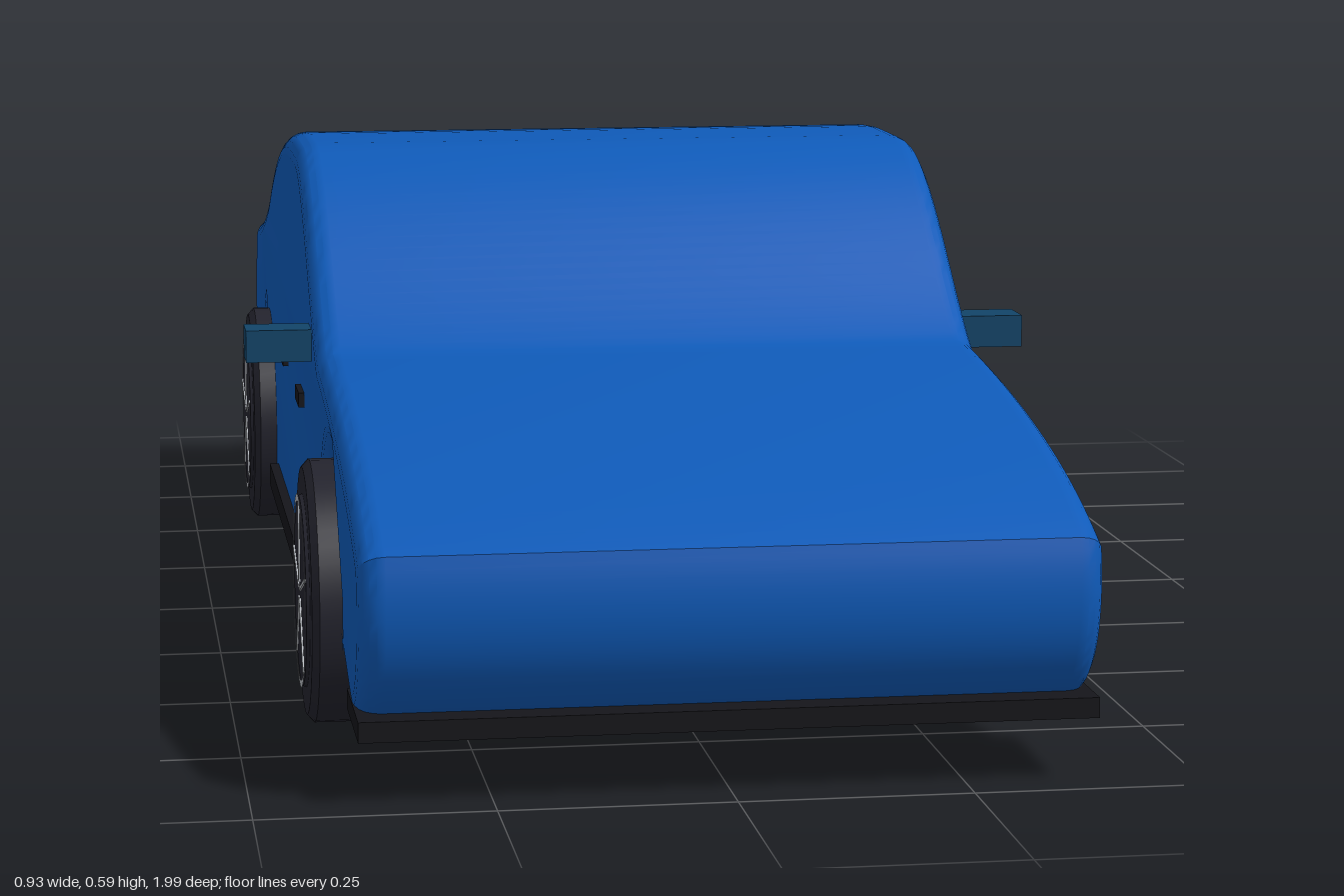
import * as THREE from 'three';
import { toCreasedNormals } from 'three/addons/utils/BufferGeometryUtils.js';

const mat = (name, color) => {
  const m = new THREE.MeshStandardMaterial({ color });
  m.name = name;
  return m;
};

export function createModel() {
  const car = new THREE.Group();
  car.name = 'car';
  const paint = mat('blue paint', 0x0f5ab8);
  const mirrorBlue = mat('dark blue', 0x124468);
  const trim = mat('black trim', 0x15151a);
  const rubber = mat('tyre rubber', 0x23232d);
  const silver = mat('silver', 0xb4b8be);
  const steel = mat('axle steel', 0x4c5660);

  const add = (name, geo, material, parent = car) => {
    const mesh = new THREE.Mesh(geo, material);
    mesh.name = name;
    parent.add(mesh);
    return mesh;
  };
  // Box from its extents on each axis
  const box = (name, [x0, x1], [y0, y1], [z0, z1], material) => add(name,
    new THREE.BoxGeometry(x1 - x0, y1 - y0, z1 - z0)
      .translate((x0 + x1) / 2, (y0 + y1) / 2, (z0 + z1) / 2), material);

  // Body: side profile (nose at -x of the shape) extruded across the width
  const axleZ = [0.587, -0.61], axleY = 0.15, archR = 0.153;
  const s = new THREE.Shape();
  const arch = (z, rightY, leftY) => {
    const a0 = Math.asin((rightY - axleY) / archR);
    const a1 = Math.PI - Math.asin((leftY - axleY) / archR);
    s.absarc(-z, axleY, archR, a0, a1, false);
  };
  s.moveTo(-0.985, 0.265);
  s.quadraticCurveTo(-0.8, 0.35, -0.39, 0.383);                   // bonnet
  s.bezierCurveTo(-0.28, 0.44, -0.15, 0.59, -0.02, 0.59);         // windscreen
  s.lineTo(0.07, 0.59);                                           // roof
  s.bezierCurveTo(0.28, 0.59, 0.45, 0.535, 0.6, 0.465);           // rear window
  s.bezierCurveTo(0.7, 0.425, 0.85, 0.395, 0.955, 0.38);          // boot
  s.bezierCurveTo(1.01, 0.27, 1.015, 0.2, 0.97, 0.085);           // tail
  arch(axleZ[1], 0.085, 0.07);
  arch(axleZ[0], 0.07, 0.11);
  s.quadraticCurveTo(-0.81, 0.085, -0.87, 0.068);                 // chin
  s.bezierCurveTo(-0.95, 0.07, -1.015, 0.15, -0.985, 0.265);      // nose
  const bevel = 0.028, halfWidth = 0.39;
  const bodyGeo = new THREE.ExtrudeGeometry(s, {
    depth: 2 * (halfWidth - bevel), curveSegments: 24, bevelEnabled: true,
    bevelSize: bevel, bevelThickness: bevel, bevelOffset: -bevel, bevelSegments: 5,
  });
  bodyGeo.translate(0, 0, bevel - halfWidth).rotateY(Math.PI / 2);
  add('body', toCreasedNormals(bodyGeo, 0.5), paint);

  // Underside panels
  box('floor', [-0.295, 0.295], [0.057, 0.075], [-0.48, 0.45], trim);
  box('floorTunnel', [-0.135, 0.135], [0.049, 0.06], [-0.4, 0.4], trim);
  box('frontSplitter', [-0.39, 0.39], [0.068, 0.09], [0.82, 0.97], trim);
  box('rearDiffuser', [-0.39, 0.39], [0.078, 0.092], [-0.97, -0.8], trim);

  // Side details, mirrored
  for (const side of [1, -1]) {
    const span = (a, b) => (side > 0 ? [a, b] : [-b, -a]);
    box('sill', span(0.37, 0.402), [0.075, 0.105], [-0.43, 0.405], trim);
    box('wingMirror', span(0.385, 0.467), [0.36, 0.398], [0.247, 0.302], mirrorBlue);
    for (const z of [0.118, -0.208])
      box('doorHandle', span(0.385, 0.397), [0.28, 0.298], [z - 0.034, z + 0.034], trim);
  }

  // Fuel cap on the left flank
  add('fuelCap', new THREE.CylinderGeometry(0.03, 0.03, 0.02, 24)
    .rotateZ(Math.PI / 2).translate(0.392, 0.305, -0.705), silver);

  // Wheels and axles
  const tyreProfile = [[0, -0.05], [0.138, -0.05], [0.147, -0.042], [0.147, 0.042],
    [0.138, 0.05], [0.108, 0.05], [0.106, 0.054], [0, 0.054]]
    .map(([r, h]) => new THREE.Vector2(r, h));
  const tyreGeo = toCreasedNormals(
    new THREE.LatheGeometry(tyreProfile, 48).rotateZ(-Math.PI / 2), 0.5);
  const ringGeo = new THREE.RingGeometry(0.1, 0.108, 48)
    .rotateY(Math.PI / 2).translate(0.0555, 0, 0);
  const spokeGeo = new THREE.BoxGeometry(0.004, 0.09, 0.004).translate(0.054, 0.055, 0);
  for (const z of axleZ) {
    add('axle', new THREE.CylinderGeometry(0.065, 0.065, 0.42, 32)
      .rotateZ(Math.PI / 2).translate(0, axleY, z), steel);
    for (const side of [1, -1]) {
      const wheel = new THREE.Group();
      wheel.name = 'wheel';
      wheel.position.set(side * 0.37, 0.147, z);
      wheel.rotation.y = side > 0 ? 0 : Math.PI;
      add('tyre', tyreGeo, rubber, wheel);
      add('rimRing', ringGeo, silver, wheel);
      for (let i = 0; i < 5; i++)
        add('spoke', spokeGeo, silver, wheel).rotation.x = (i * 2 * Math.PI) / 5;
      car.add(wheel);
    }
  }
  return car;
}
